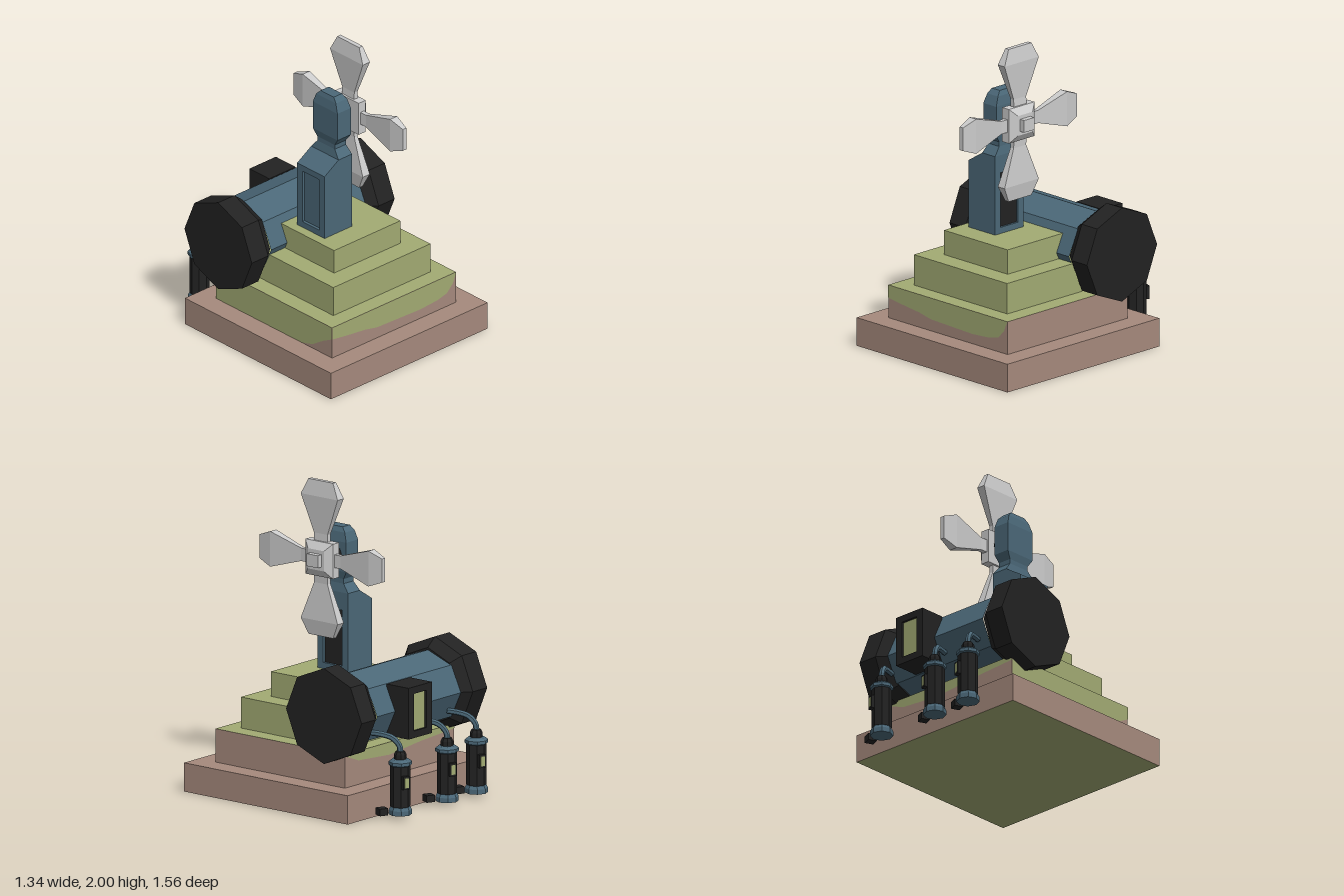
import * as THREE from 'three';

const mat = (name, color) => {
  const m = new THREE.MeshStandardMaterial({ color, flatShading: true });
  m.name = name;
  return m;
};

export function createModel() {
  const model = new THREE.Group();
  const brown = mat('clay brown', 0xa68a7d);
  const green = mat('moss green', 0xa2ab73);
  const blue = mat('steel blue', 0x4b6878);
  const black = mat('charcoal', 0x222222);
  const grey = mat('light grey', 0xcccccc);

  const add = (name, geo, material, x = 0, y = 0, z = 0, parent = model) => {
    const m = new THREE.Mesh(geo, material);
    m.name = name;
    m.position.set(x, y, z);
    parent.add(m);
    return m;
  };
  const box = (w, h, d) => new THREE.BoxGeometry(w, h, d);

  // Stack of rectangles [y, x0, x1, z0, z1] joined into a closed solid
  const loft = (rows) => {
    const rings = rows.map(([y, x0, x1, z0, z1]) => [[x0, y, z1], [x1, y, z1], [x1, y, z0], [x0, y, z0]]);
    const pos = [];
    const quad = (a, b, c, d) => pos.push(...a, ...b, ...c, ...a, ...c, ...d);
    for (let k = 0; k < rings.length - 1; k++) {
      for (let i = 0; i < 4; i++) {
        const j = (i + 1) % 4;
        quad(rings[k][i], rings[k][j], rings[k + 1][j], rings[k + 1][i]);
      }
    }
    const [a, b, c, d] = rings[0];
    quad(d, c, b, a);
    quad(...rings[rings.length - 1]);
    const g = new THREE.BufferGeometry();
    g.setAttribute('position', new THREE.Float32BufferAttribute(pos, 3));
    g.computeVertexNormals();
    return g;
  };

  // Eight-sided turned solid from [radius, height] pairs
  const turned = (pts) => new THREE.LatheGeometry(pts.map(([r, y]) => new THREE.Vector2(r, y)), 8);

  // Rectangular frame with an opening, centred, facing +z
  const frame = (w, h, hw, hh, depth) => {
    const rect = (P, a, b) => {
      const s = new P();
      s.moveTo(-a / 2, -b / 2).lineTo(a / 2, -b / 2).lineTo(a / 2, b / 2).lineTo(-a / 2, b / 2).closePath();
      return s;
    };
    const s = rect(THREE.Shape, w, h);
    s.holes.push(rect(THREE.Path, hw, hh));
    return new THREE.ExtrudeGeometry(s, { depth, bevelEnabled: false });
  };

  // Stepped base
  const zc = 0.107;
  add('baseStep', box(1.34, 0.185, 1.335), [brown, brown, brown, green, brown, brown], 0, 0.0925, zc);
  add('secondStep', box(1.06, 0.215, 1.056), [brown, brown, green, green, brown, brown], 0, 0.2925, zc);
  add('thirdStep', box(0.83, 0.2, 0.834), green, 0, 0.5, zc);
  add('topStep', box(0.566, 0.16, 0.566), green, 0, 0.68, zc);

  // Moss hanging over the second step: upper edge plus a wavy lower edge
  const moss = (name, pts) => {
    const s = new THREE.Shape();
    s.moveTo(pts[0][0], 0.4);
    pts.forEach(([x, y]) => s.lineTo(x, y));
    s.lineTo(pts[pts.length - 1][0], 0.4);
    return add(name, new THREE.ShapeGeometry(s), green);
  };
  moss('frontMoss', [[-0.53, 0.318], [-0.4, 0.3], [-0.25, 0.283], [-0.15, 0.262], [0, 0.257], [0.22, 0.25],
    [0.37, 0.26], [0.45, 0.28], [0.5, 0.33], [0.53, 0.398]]).position.z = 0.638;
  const sideMoss = moss('sideMoss', [[-0.421, 0.187], [0.36, 0.187], [0.46, 0.215], [0.56, 0.28], [0.635, 0.318]]);
  sideMoss.rotation.y = -Math.PI / 2;
  sideMoss.position.x = -0.533;
  const backMoss = moss('backMoss', [[-0.53, 0.39], [-0.4, 0.34], [-0.1, 0.32], [0.2, 0.35], [0.53, 0.37]]);
  backMoss.rotation.y = Math.PI;
  backMoss.position.z = -0.424;

  // Tower with recessed side panels and a shaped head
  add('towerCore', box(0.195, 0.44, 0.25), blue, -0.1025, 0.98, 0.11);
  for (const [name, x] of [['leftTowerFrame', -0.005], ['rightTowerFrame', -0.22]]) {
    add(name, frame(0.25, 0.44, 0.155, 0.36, 0.02).rotateY(Math.PI / 2), blue, x, 0.98, 0.11);
  }
  add('towerDoor', box(0.006, 0.36, 0.155), black, -0.003, 0.98, 0.11);
  add('towerHead', loft([
    [1.2, -0.22, 0.015, -0.015, 0.235], [1.275, -0.1, 0.015, -0.015, 0.235],
    [1.33, -0.09, 0.005, 0.03, 0.19], [1.36, -0.09, 0.005, 0.03, 0.19],
    [1.41, -0.1, 0.015, 0, 0.225], [1.6, -0.1, 0.015, 0, 0.225],
    [1.66, -0.09, 0.005, 0.02, 0.2], [1.69, -0.08, -0.01, 0.05, 0.17],
  ]), blue);

  // Propeller shaft, hub and four blades
  const fan = new THREE.Group();
  fan.name = 'propeller';
  fan.position.set(0.105, 1.5, 0.12);
  model.add(fan);
  add('shaftCollar', turned([[0, 0], [0.075, 0], [0.075, 0.035], [0.05, 0.05], [0, 0.05]]).rotateZ(-Math.PI / 2),
    black, -0.09, 0, -0.015, fan);
  add('shaft', turned([[0.035, 0], [0.025, 0.04]]).rotateZ(-Math.PI / 2), blue, -0.045, 0, -0.01, fan);
  add('hub', loft([[-0.03, -0.112, 0.112, -0.112, 0.112], [0.03, -0.112, 0.112, -0.112, 0.112],
    [0.062, -0.065, 0.065, -0.065, 0.065]]).rotateZ(-Math.PI / 2), grey, 0, 0, 0, fan);
  add('hubCap', box(0.045, 0.08, 0.09), grey, 0.075, 0, 0, fan);
  for (let i = 0; i < 4; i++) {
    const k = i % 2 ? 0.76 : 1;
    const rows = [[0.08, 0.018, 0.055], [0.16, 0.014, 0.055], [0.4, 0.03, 0.15], [0.5, 0.015, 0.1]];
    const blade = add('blade', loft(rows.map(([r, t, w]) => [r, -t, t, -w * k, w * k])), grey, 0, 0, 0, fan);
    blade.rotation.x = (i * Math.PI) / 2;
  }

  // Horizontal tank with flared end caps
  const tank = new THREE.Group();
  tank.name = 'tank';
  tank.position.set(0, 0.643, -0.305);
  model.add(tank);
  add('tankBody', turned([[0.265, -0.42], [0.265, 0.395]]).rotateZ(-Math.PI / 2).scale(1, 0.887, 1),
    blue, 0, 0, 0, tank);
  add('leftTankCap', turned([[0, 0.385], [0.25, 0.385], [0.308, 0.46], [0.308, 0.597], [0, 0.597]])
    .rotateZ(-Math.PI / 2), black, 0, 0, 0, tank);
  add('rightTankCap', turned([[0, -0.625], [0.308, -0.625], [0.308, -0.485], [0.25, -0.415], [0, -0.415]])
    .rotateZ(-Math.PI / 2), black, 0, 0, 0, tank);

  // Control box on the back of the tank
  add('controlBox', box(0.225, 0.33, 0.16), black, 0.107, 0.645, -0.58);
  add('controlBoxFrame', frame(0.225, 0.33, 0.125, 0.24, 0.02), black, 0.107, 0.645, -0.68);
  add('controlBoxWindow', box(0.125, 0.24, 0.006), green, 0.107, 0.645, -0.661);

  // Three canisters piped to the tank
  const bend = new THREE.CatmullRomCurve3([[0, 0.41, 0], [0, 0.46, 0.005], [0.02, 0.51, 0.045],
    [0.05, 0.53, 0.1], [0.075, 0.535, 0.17]].map((p) => new THREE.Vector3(...p)));
  for (const x of [-0.415, -0.13, 0.325]) {
    const can = new THREE.Group();
    can.name = 'canister';
    can.position.set(x, 0, -0.7);
    model.add(can);
    add('canisterFoot', turned([[0, 0.025], [0.073, 0.025], [0.073, 0.055], [0.06, 0.08]]), blue, 0, 0, 0, can);
    add('canisterBody', turned([[0.06, 0.07], [0.064, 0.08], [0.064, 0.345]]), black, 0, 0, 0, can);
    add('canisterRim', turned([[0.06, 0.335], [0.074, 0.345], [0.074, 0.365], [0.055, 0.38], [0, 0.385]]),
      blue, 0, 0, 0, can);
    add('canisterNeck', turned([[0.04, 0.38], [0.04, 0.41], [0.03, 0.43], [0, 0.43]]), black, 0, 0, 0, can);
    add('pipe', new THREE.TubeGeometry(bend, 12, 0.019, 6), blue, 0, 0, 0, can);
    const gauge = new THREE.Group();
    gauge.name = 'gauge';
    gauge.rotation.y = 2.78;
    can.add(gauge);
    add('gaugeBox', box(0.045, 0.085, 0.03), black, 0, 0.24, 0.066, gauge);
    add('gaugeWindow', box(0.028, 0.062, 0.004), green, 0, 0.24, 0.082, gauge);
    add('valveBlock', box(0.058, 0.045, 0.058), black, 0.13, 0.06, 0.04, can).rotation.y = -0.4;
  }
  return model;
}
